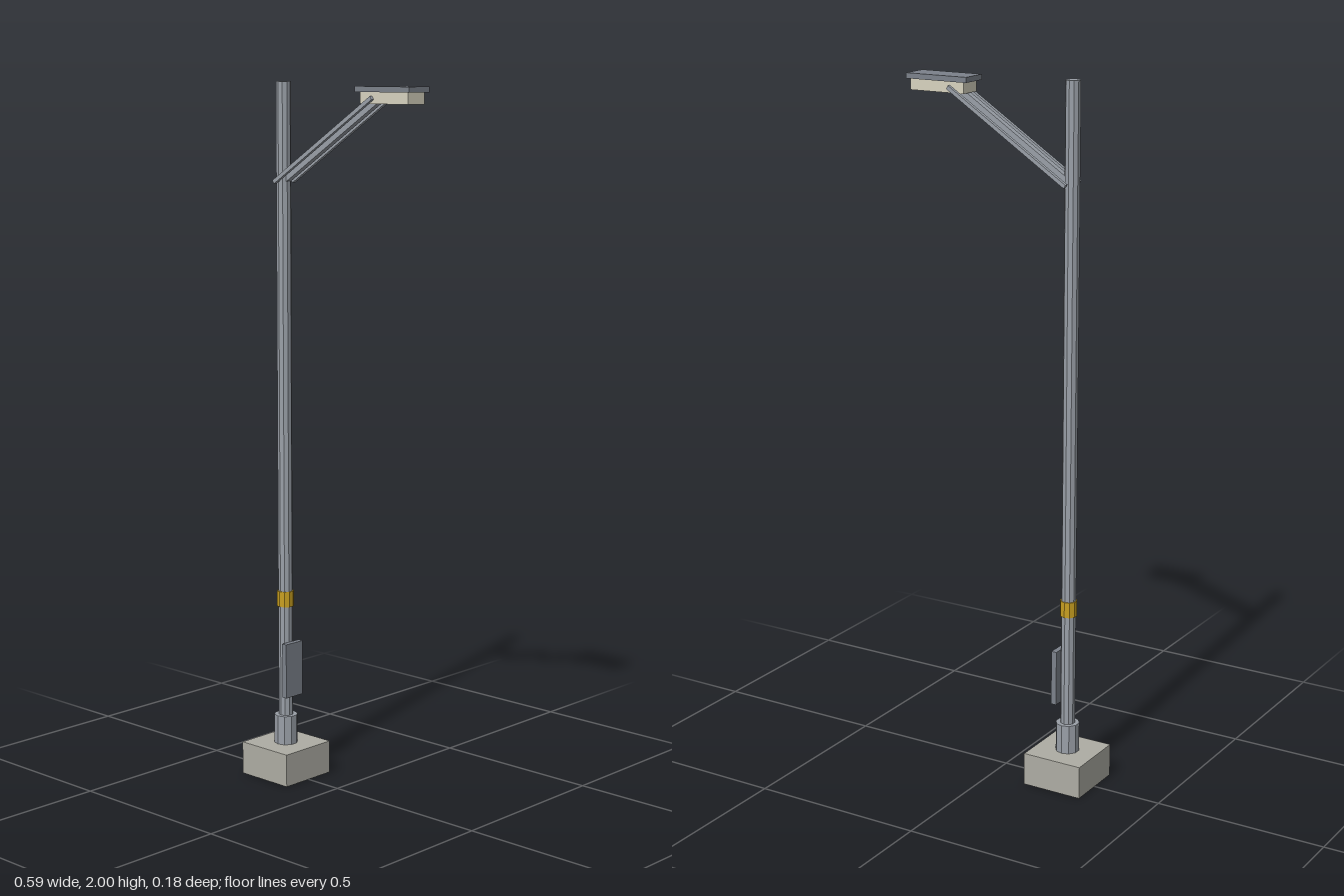
import * as THREE from 'three';

const POLE_X = -0.205;

export function createModel() {
  const model = new THREE.Group();
  const paint = (color) => new THREE.MeshStandardMaterial({ color, flatShading: true });
  const steel = paint(0x9aa0a8);
  const darkSteel = paint(0x7c828b);
  const concrete = paint(0xaeada4);
  const yellow = paint(0xc9a020);
  const cream = paint(0xd8d4c0);

  const add = (name, geometry, material, x, y, z = 0) => {
    const mesh = new THREE.Mesh(geometry, material);
    mesh.name = name;
    mesh.position.set(x, y, z);
    model.add(mesh);
    return mesh;
  };
  // Box and ten-sided post given by their lower and upper heights
  const box = (name, material, x, w, d, y0, y1) =>
    add(name, new THREE.BoxGeometry(w, y1 - y0, d), material, x, (y0 + y1) / 2);
  const post = (name, material, r, y0, y1) =>
    add(name, new THREE.CylinderGeometry(r, r, y1 - y0, 10), material, POLE_X, (y0 + y1) / 2);

  // Footing and pole
  box('footing', concrete, POLE_X, 0.18, 0.18, 0, 0.095);
  post('collar', steel, 0.034, 0.095, 0.18);
  post('pole', steel, 0.021, 0.095, 2);
  post('warningBand', yellow, 0.0245, 0.505, 0.55);
  box('accessPanel', darkSteel, -0.178, 0.016, 0.068, 0.24, 0.4);

  // Sloping arms: a thicker one in the middle, a thin one on each side
  const start = new THREE.Vector2(-0.205, 1.724);
  const end = new THREE.Vector2(0.16, 1.96);
  const run = end.clone().sub(start);
  for (const [name, size, z] of [
    ['mainArm', 0.019, 0],
    ['leftBrace', 0.011, 0.037],
    ['rightBrace', 0.011, -0.037],
  ]) {
    const arm = add(name, new THREE.BoxGeometry(run.length(), size, size), steel,
      (start.x + end.x) / 2, (start.y + end.y) / 2, z);
    arm.rotation.z = run.angle();
  }

  // Lamp head
  box('lampBody', cream, 0.198, 0.17, 0.066, 1.944, 1.977);
  box('lampCover', darkSteel, 0.197, 0.192, 0.081, 1.975, 1.99);

  return model;
}
